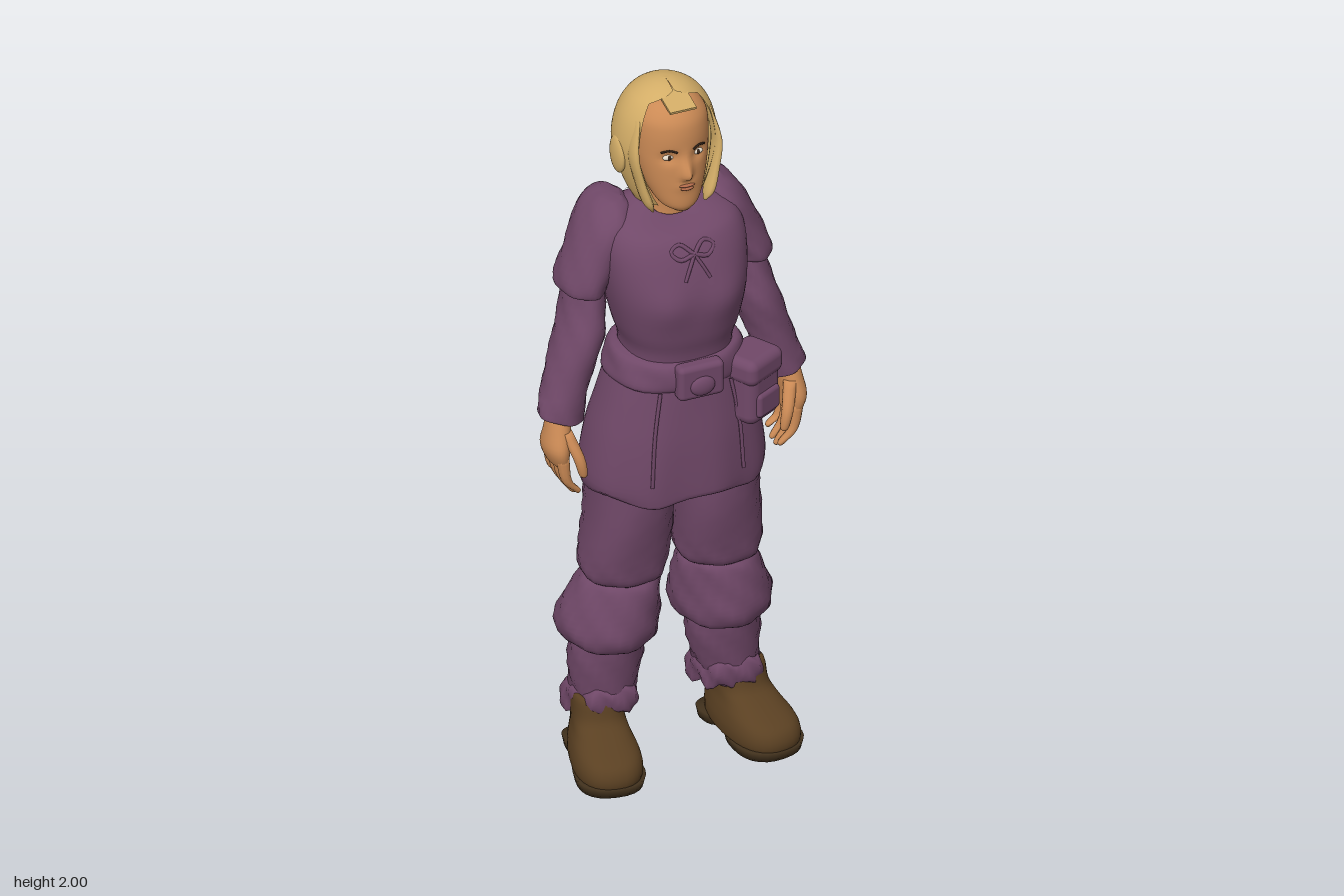
import * as THREE from 'three';
import { RoundedBoxGeometry } from 'three/addons/geometries/RoundedBoxGeometry.js';

const cloth = new THREE.MeshStandardMaterial({ name: 'plum cloth', color: 0x704868 });
const skin = new THREE.MeshStandardMaterial({ name: 'skin', color: 0xcb8a55 });
const hairMat = new THREE.MeshStandardMaterial({ name: 'blond hair', color: 0xd3ad67, side: THREE.DoubleSide });
const leather = new THREE.MeshStandardMaterial({ name: 'brown leather', color: 0x5a4022, side: THREE.DoubleSide });
const soleMat = new THREE.MeshStandardMaterial({ name: 'dark sole', color: 0x40301c });
const lipMat = new THREE.MeshStandardMaterial({ name: 'lips', color: 0xb06a4a });
const white = new THREE.MeshStandardMaterial({ name: 'eye white', color: 0xe2d8c8 });
const dark = new THREE.MeshStandardMaterial({ name: 'eye dark', color: 0x33241a });

// Smooth skin over horizontal ovals, listed bottom to top as [y, cx, cz, rx, rz].
// e squares the oval, gap(t) leaves an opening at the front, warp moves points.
function loft(rings, { n = 28, sub = 4, e = 1, gap = null, warp = null } = {}) {
  const mid = new THREE.CatmullRomCurve3(rings.map(r => new THREE.Vector3(r[1], r[0], r[2])), false, 'catmullrom');
  const rad = new THREE.CatmullRomCurve3(rings.map(r => new THREE.Vector3(r[3], 0, r[4])), false, 'catmullrom');
  const rows = (rings.length - 1) * sub, cols = gap ? n + 1 : n, pos = [], idx = [];
  const pow = v => Math.sign(v) * Math.abs(v) ** e;
  for (let i = 0; i <= rows; i++) {
    const t = i / rows, c = mid.getPoint(t), r = rad.getPoint(t), g = gap ? gap(t) : 0;
    for (let j = 0; j < cols; j++) {
      const a = g + (j / n) * (Math.PI * 2 - 2 * g);
      const p = new THREE.Vector3(c.x + r.x * pow(Math.sin(a)), c.y, c.z + r.z * pow(Math.cos(a)));
      if (warp) warp(p, a, t);
      pos.push(p.x, p.y, p.z);
    }
  }
  for (let i = 0; i < rows; i++) for (let j = 0; j < n; j++) {
    const a = i * cols + j, b = i * cols + (j + 1) % cols;
    idx.push(a, b, b + cols, a, b + cols, a + cols);
  }
  if (!gap) for (const [row, flip] of [[0, 1], [rows, 0]]) {
    const c = mid.getPoint(row / rows), k = pos.length / 3;
    pos.push(c.x, pos[row * cols * 3 + 1], c.z);
    for (let j = 0; j < n; j++) {
      const a = row * cols + j, b = row * cols + (j + 1) % n;
      idx.push(k, flip ? b : a, flip ? a : b);
    }
  }
  const geo = new THREE.BufferGeometry();
  geo.setAttribute('position', new THREE.Float32BufferAttribute(pos, 3));
  geo.setIndex(idx);
  geo.computeVertexNormals();
  return geo;
}

const bump = (d, w) => Math.exp(-(d * d) / (w * w));
const mirror = (rings, s) => rings.map(r => [r[0], r[1] * s, ...r.slice(2)]);

// Gentle folds that run round a garment
const folds = (amount, k, seed) => (p, a) => {
  const f = 1 + amount * Math.sin(a * k + seed + p.y * 25) * Math.sin(a * 2 + p.y * 40 + seed);
  p.x += Math.sin(a) * (f - 1) * 0.15;
  p.z += Math.cos(a) * (f - 1) * 0.15;
};

export function createModel() {
  const root = new THREE.Group();
  const add = (name, geo, mat, parent = root) => {
    const m = new THREE.Mesh(geo, mat);
    m.name = name;
    parent.add(m);
    return m;
  };
  const ball = (name, mat, x, y, z, sx, sy, sz) => {
    const m = add(name, new THREE.SphereGeometry(1, 20, 14), mat);
    m.position.set(x, y, z);
    m.scale.set(sx, sy, sz);
    return m;
  };
  const cord = (name, pts, r) => add(name, new THREE.TubeGeometry(
    new THREE.CatmullRomCurve3(pts.map(p => new THREE.Vector3(...p))), 16, r, 6), cloth);

  // Tunic top with a scooped collar
  const scoop = (p, a) => { if (p.y > 1.6) p.y -= (p.y - 1.6) / 0.065 * 0.035 * Math.cos(a) ** 2; };
  add('tunicTop', loft([
    [1.2, 0, 0.005, 0.15, 0.135], [1.27, 0, 0.01, 0.147, 0.137], [1.33, 0, 0.012, 0.165, 0.15],
    [1.42, 0, 0.005, 0.185, 0.165], [1.5, 0, -0.008, 0.195, 0.165], [1.57, 0, -0.028, 0.195, 0.157],
    [1.62, 0, -0.04, 0.17, 0.13], [1.655, 0, -0.05, 0.11, 0.095], [1.665, 0, -0.05, 0.085, 0.078],
    [1.645, 0, -0.05, 0.065, 0.065]], {
    n: 48, e: 0.85, warp: (p, a) => {
      if (Math.cos(a) > 0) p.z += 0.014 * bump(Math.abs(p.x) - 0.085, 0.06) * bump(p.y - 1.43, 0.06);
      else p.z += 0.012 * bump(p.x, 0.03) * bump(p.y - 1.45, 0.12);
      scoop(p, a);
    } }), cloth);
  add('backCollarLining', loft([[1.6, 0, -0.036, 0.185, 0.15], [1.63, 0, -0.043, 0.16, 0.127],
    [1.656, 0, -0.05, 0.114, 0.1]], { n: 10, e: 0.85, gap: t => 3.05 - 0.5 * t, warp: scoop }), leather);

  // Tunic skirt, belt roll and hem
  add('tunicSkirt', loft([
    [0.87, 0, 0, 0.2, 0.14], [0.84, 0, -0.003, 0.232, 0.172], [0.88, 0, -0.008, 0.25, 0.183],
    [1.0, 0, -0.005, 0.233, 0.178], [1.1, 0, 0.002, 0.207, 0.162], [1.18, 0, 0.006, 0.184, 0.15],
    [1.24, 0, 0.008, 0.165, 0.143], [1.26, 0, 0.008, 0.14, 0.125]], {
    n: 56, e: 0.9, warp: (p, a, t) => {
      const k = Math.max(0, 1 - (p.y - 0.84) / 0.3);
      p.z += Math.cos(a) * 0.006 * k * Math.sin(a * 9);
      p.y += t < 0.25 ? 0.01 * Math.sin(a * 5 + 1) : 0;
    } }), cloth);
  add('belt', loft([[1.165, 0, 0.006, 0.16, 0.135], [1.175, 0, 0.006, 0.19, 0.156], [1.21, 0, 0.008, 0.183, 0.157],
    [1.245, 0, 0.008, 0.17, 0.15], [1.255, 0, 0.008, 0.145, 0.125]], { n: 40, e: 0.9, warp: folds(0.03, 5, 1) }), cloth);
  const buckle = add('beltKnot', new RoundedBoxGeometry(0.13, 0.1, 0.045, 3, 0.015), cloth);
  buckle.position.set(0, 1.205, 0.165);
  ball('knotCentre', cloth, 0, 1.195, 0.187, 0.035, 0.028, 0.014);
  for (const s of [1, -1]) {
    cord('sideSeam', [[s * 0.1, 1.17, 0.142], [s * 0.12, 1.05, 0.153], [s * 0.13, 0.9, 0.158]], 0.005);
    cord('backCord', [[s * 0.035, 1.17, -0.147], [s * 0.045, 1.1, -0.163], [s * 0.055, 1.0, -0.183]], 0.007);
  }

  // Belt pouch
  const pouch = new THREE.Group();
  pouch.name = 'pouch';
  pouch.position.set(0.168, 1.125, 0.118);
  pouch.rotation.y = 0.5;
  root.add(pouch);
  add('pouchBody', new RoundedBoxGeometry(0.13, 0.19, 0.11, 4, 0.03), cloth, pouch);
  add('pouchFlap', new RoundedBoxGeometry(0.14, 0.075, 0.122, 4, 0.025), cloth, pouch).position.y = 0.065;
  add('pouchPocket', new RoundedBoxGeometry(0.09, 0.07, 0.03, 3, 0.012), cloth, pouch).position.set(0, -0.035, 0.05);

  // Chest lacing
  for (const s of [1, -1]) {
    cord('bowLoop', [[0, 1.565, 0.135], [s * 0.035, 1.59, 0.113], [s * 0.06, 1.575, 0.118], [s * 0.04, 1.555, 0.135], [0, 1.565, 0.135]], 0.006);
    cord('bowTail', [[0, 1.565, 0.135], [s * 0.02, 1.53, 0.149], [s * 0.035, 1.5, 0.157]], 0.005);
  }

  for (const s of [1, -1]) {
    const part = (name, rings, mat, opt) => add((s > 0 ? 'left' : 'right') + name, loft(mirror(rings, s), opt), mat);

    // Sleeves
    part('UpperSleeve', [[1.45, 0.23, -0.065, 0.035, 0.06], [1.422, 0.235, -0.065, 0.056, 0.09],
      [1.45, 0.232, -0.066, 0.061, 0.1], [1.52, 0.2, -0.07, 0.068, 0.1], [1.6, 0.163, -0.083, 0.07, 0.108],
      [1.645, 0.147, -0.09, 0.054, 0.085], [1.668, 0.14, -0.09, 0.025, 0.045]], cloth, { warp: folds(0.03, 4, 2) });
    part('LowerSleeve', [[1.11, 0.315, -0.01, 0.035, 0.038], [1.075, 0.316, -0.008, 0.058, 0.058],
      [1.1, 0.312, -0.01, 0.06, 0.06], [1.2, 0.283, -0.03, 0.061, 0.072], [1.3, 0.25, -0.045, 0.061, 0.088],
      [1.38, 0.233, -0.058, 0.053, 0.085], [1.47, 0.22, -0.065, 0.045, 0.075]], cloth,
      { warp: (p, a) => { folds(0.035, 3, 1)(p, a); if (p.y < 1.12) p.y += s * 0.014 * Math.sin(a); } });

    // Hand with four fingers and a thumb
    part('Palm', [[0.945, 0.33, 0, 0.014, 0.045], [0.96, 0.332, 0, 0.026, 0.055], [1.0, 0.337, 0.002, 0.034, 0.06],
      [1.05, 0.33, 0, 0.033, 0.046], [1.11, 0.32, -0.01, 0.032, 0.035]], skin);
    for (let f = 0; f < 4; f++) {
      const z = 0.043 - f * 0.029, tip = 0.855 + [0.012, 0, 0.004, 0.025][f];
      part('Finger', [[tip - 0.005, 0.288, z * 0.9, 0.004, 0.004], [tip + 0.006, 0.293, z * 0.9, 0.011, 0.011],
        [0.91, 0.323, z, 0.014, 0.014], [0.98, 0.334, z, 0.018, 0.015]], skin, { n: 10 });
    }
    part('Thumb', [[0.922, 0.285, 0.066, 0.004, 0.005], [0.935, 0.287, 0.068, 0.012, 0.013],
      [0.985, 0.298, 0.064, 0.016, 0.016], [1.05, 0.32, 0.03, 0.018, 0.018]], skin, { n: 12 });

    // Trousers in three gathered tiers
    part('Thigh', [[0.55, 0.135, -0.03, 0.085, 0.09], [0.57, 0.135, -0.032, 0.108, 0.117], [0.62, 0.133, -0.028, 0.114, 0.125],
      [0.75, 0.123, -0.01, 0.114, 0.126], [0.9, 0.118, -0.003, 0.114, 0.125]], cloth, { e: 0.9, warp: folds(0.04, 5, 3) });
    part('KneePuff', [[0.375, 0.16, -0.05, 0.085, 0.085], [0.36, 0.16, -0.052, 0.118, 0.12], [0.4, 0.161, -0.053, 0.136, 0.142],
      [0.46, 0.154, -0.045, 0.128, 0.132], [0.53, 0.141, -0.035, 0.108, 0.115], [0.555, 0.137, -0.032, 0.095, 0.1],
      [0.57, 0.135, -0.03, 0.08, 0.08]], cloth, { warp: folds(0.05, 5, 2) });
    part('Calf', [[0.15, 0.178, -0.06, 0.07, 0.085], [0.2, 0.175, -0.06, 0.08, 0.098], [0.3, 0.167, -0.057, 0.1, 0.102],
      [0.39, 0.162, -0.05, 0.1, 0.1]], cloth, { warp: folds(0.05, 4, 1) });
    part('TrouserCuff', [[0.165, 0.18, -0.06, 0.07, 0.08], [0.14, 0.18, -0.062, 0.086, 0.1], [0.17, 0.178, -0.062, 0.092, 0.11],
      [0.205, 0.177, -0.06, 0.088, 0.104], [0.22, 0.175, -0.06, 0.07, 0.085]], cloth, {
      n: 36, warp: (p, a) => {
        folds(0.09, 7, 2)(p, a);
        p.y += 0.02 * Math.cos(a) + 0.009 * Math.sin(a * 8);
      } });

    // Boot, turned slightly outward
    const boot = new THREE.Group();
    boot.name = (s > 0 ? 'left' : 'right') + 'Boot';
    boot.position.set(s * 0.21, 0, 0.015);
    boot.rotation.y = s * 0.17;
    root.add(boot);
    const toe = p => { p.x *= 1 + 1.3 * p.z; };
    add('bootUpper', loft([[0.02, 0, 0, 0.07, 0.15], [0.025, 0, 0, 0.084, 0.168], [0.055, 0, 0, 0.087, 0.17],
      [0.085, 0, -0.008, 0.082, 0.158], [0.115, 0, -0.035, 0.074, 0.122], [0.145, 0, -0.06, 0.072, 0.094],
      [0.2, 0, -0.07, 0.07, 0.085], [0.205, 0, -0.07, 0.05, 0.06]], { n: 36, e: 0.85, warp: toe }), leather, boot);
    add('frontSole', loft([[0, 0, 0.055, 0.08, 0.11], [0.028, 0, 0.055, 0.086, 0.116]], { sub: 1, e: 0.85, warp: toe }), soleMat, boot);
    add('heel', loft([[0, 0, -0.115, 0.068, 0.052], [0.03, 0, -0.115, 0.074, 0.056]], { sub: 1, e: 0.7 }), soleMat, boot);

    // Eye and brow
    ball('eye', white, s * 0.041, 1.828, 0.061, 0.016, 0.008, 0.009);
    ball('iris', dark, s * 0.041, 1.828, 0.066, 0.006, 0.007, 0.006);
    add('brow', new THREE.TubeGeometry(new THREE.CatmullRomCurve3([[0.022, 1.846, 0.078], [0.042, 1.853, 0.072],
      [0.062, 1.846, 0.06]].map(([x, y, z]) => new THREE.Vector3(s * x, y, z))), 8, 0.003, 5), dark);

    // Hair over the ear, and the lock beside the cheek
    ball('earTuft', hairMat, s * 0.132, 1.8, -0.055, 0.016, 0.055, 0.04);
    part('SideLock', [[1.66, 0.075, 0.035, 0.004, 0.008], [1.69, 0.088, 0.032, 0.013, 0.026], [1.75, 0.105, 0.024, 0.012, 0.028],
      [1.83, 0.118, 0.012, 0.01, 0.03], [1.92, 0.1, -0.008, 0.006, 0.02]], hairMat, { n: 12 });
  }

  // Neck and head
  add('neck', loft([[1.56, 0, -0.045, 0.075, 0.07], [1.63, 0, -0.042, 0.06, 0.06], [1.72, 0, -0.035, 0.06, 0.06]]), skin);
  add('head', loft([[1.665, 0, 0.048, 0.026, 0.028], [1.685, 0, 0.03, 0.055, 0.054], [1.73, 0, 0.005, 0.078, 0.08],
    [1.78, 0, -0.01, 0.092, 0.094], [1.83, 0, -0.02, 0.1, 0.1], [1.89, 0, -0.025, 0.101, 0.103],
    [1.93, 0, -0.025, 0.092, 0.092], [1.962, 0, -0.025, 0.062, 0.062], [1.972, 0, -0.025, 0.02, 0.02]], {
    n: 72, sub: 6, warp: (p, a) => {
      if (Math.cos(a) < 0.3) return;
      const up = p.y - 1.778;
      p.z += 0.029 * bump(p.x, 0.014) * bump(up, up > 0 ? 0.036 : 0.012);
      p.z -= 0.011 * bump(Math.abs(p.x) - 0.041, 0.02) * bump(p.y - 1.828, 0.015);
      p.z += 0.005 * bump(p.x, 0.025) * bump(p.y - 1.745, 0.014);
    } }), skin);
  ball('upperLip', lipMat, 0, 1.748, 0.089, 0.022, 0.0045, 0.007);
  ball('lowerLip', lipMat, 0, 1.739, 0.089, 0.018, 0.005, 0.007);

  // Hair shell, open round the face
  add('hair', loft([[1.665, 0, -0.045, 0.09, 0.085], [1.7, 0, -0.045, 0.108, 0.098], [1.76, 0, -0.053, 0.128, 0.122],
    [1.83, 0, -0.057, 0.139, 0.134], [1.9, 0, -0.057, 0.127, 0.125], [1.95, 0, -0.055, 0.101, 0.102],
    [1.98, 0, -0.052, 0.067, 0.07], [1.995, 0, -0.05, 0.032, 0.034], [2, 0, -0.05, 0.001, 0.001]], {
    n: 48, sub: 5, gap: t => t < 0.35 ? 0.62 + 0.8 * t : t < 0.68 ? 0.9 : Math.max(0.02, 0.9 - (t - 0.68) * 7) }), hairMat);
  const fringe = add('fringe', new THREE.BoxGeometry(0.075, 0.007, 0.09, 6, 1, 6), hairMat);
  fringe.position.set(0, 1.972, 0.022);
  fringe.rotation.x = 0.25;

  return root;
}
